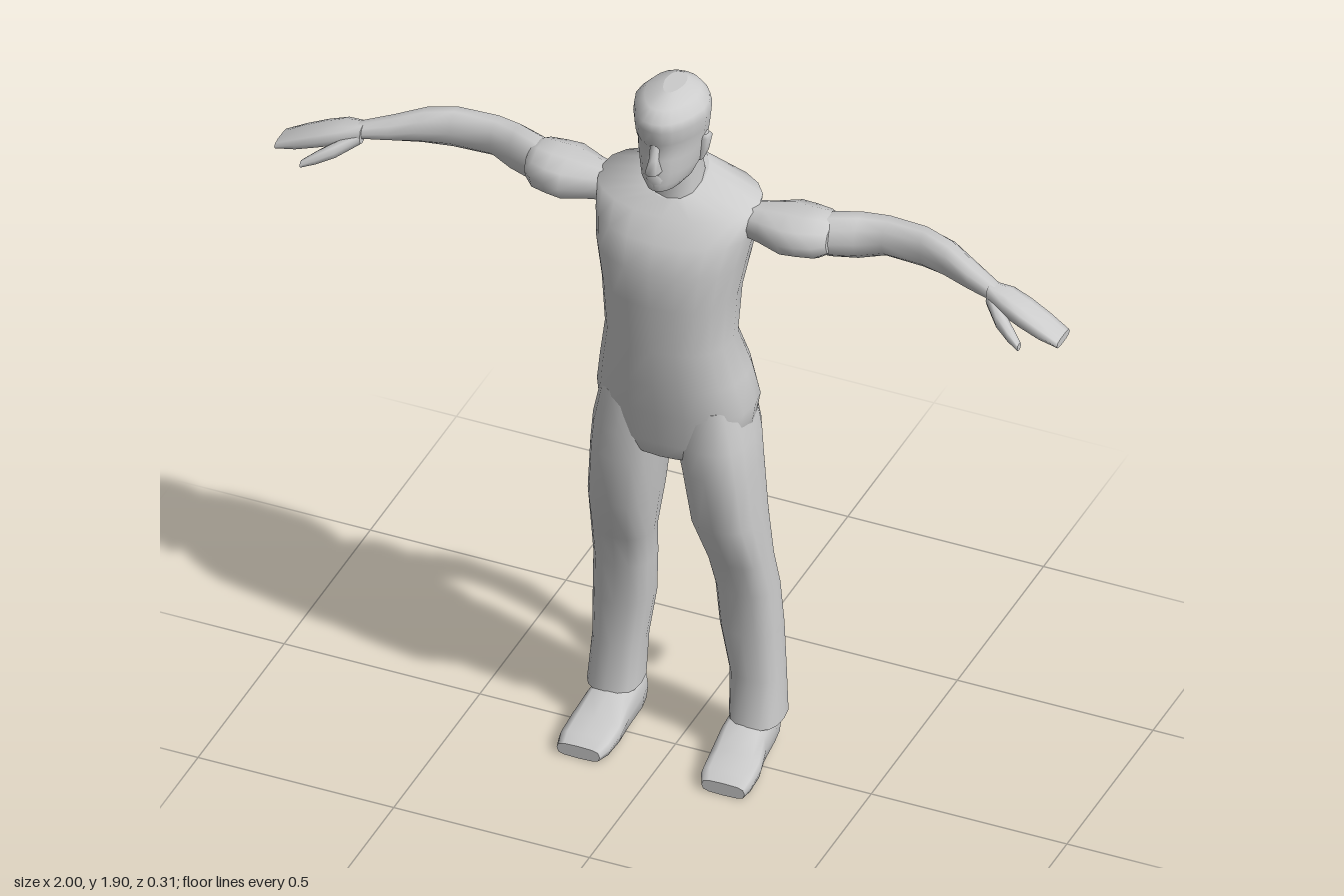
import * as THREE from 'three';

const grey = new THREE.MeshStandardMaterial({ color: 0xcccccc });
grey.name = 'lightGrey';

// Maps (position along axis, a, b) to xyz for each loft axis.
const AXES = {
  y: (p, a, b) => [a, p, b],
  x: (p, a, b) => [p, b, a],
  z: (p, a, b) => [b, a, p],
};

// Smooth closed loft. Section: [p, aMin, aMax, bMin, bMax, tilt of p along b].
function loft(name, axis, sections, { sides = 14, power = 2.3, mirror = false, taper = 0 } = {}) {
  const pos = [], index = [], n = sides, map = AXES[axis];
  const bend = (v) => Math.sign(v) * Math.pow(Math.abs(v), 2 / power);
  const ring = ([p, a0, a1, b0, b1, tilt = 0]) => {
    for (let i = 0; i < n; i++) {
      const t = (i / n) * Math.PI * 2;
      const s = bend(Math.sin(t));
      const c = bend(Math.cos(t)) * (1 - taper * Math.max(0, s));
      const b = (b0 + b1) / 2 + s * (b1 - b0) / 2;
      pos.push(...map(p + tilt * b, (a0 + a1) / 2 + c * (a1 - a0) / 2, b));
    }
  };
  const tri = (a, b, c) => index.push(...(mirror ? [a, c, b] : [a, b, c]));
  sections.forEach(ring);
  for (let j = 0; j < sections.length - 1; j++) {
    for (let i = 0; i < n; i++) {
      const a = j * n + i, b = j * n + (i + 1) % n;
      tri(a, a + n, b);
      tri(b, a + n, b + n);
    }
  }
  // End caps with their own vertices
  [sections[0], sections[sections.length - 1]].forEach((s, k) => {
    const base = pos.length / 3;
    ring(s);
    const b = (s[3] + s[4]) / 2;
    pos.push(...map(s[0] + (s[5] || 0) * b, (s[1] + s[2]) / 2, b));
    for (let i = 0; i < n; i++) {
      const u = base + i, v = base + (i + 1) % n;
      if (k) tri(base + n, v, u); else tri(base + n, u, v);
    }
  });
  if (mirror) for (let i = 0; i < pos.length; i += 3) pos[i] *= -1;
  const geo = new THREE.BufferGeometry();
  geo.setAttribute('position', new THREE.Float32BufferAttribute(pos, 3));
  geo.setIndex(index);
  geo.computeVertexNormals();
  const mesh = new THREE.Mesh(geo, grey);
  mesh.name = name;
  return mesh;
}

// Section symmetric in x, for the body and head
const sym = (y, w, back, front, tilt = 0) => [y, -w, w, back, front, tilt];

function limbs(mirror) {
  const g = new THREE.Group();
  g.name = mirror ? 'rightLimbs' : 'leftLimbs';

  // Trouser leg, its top tucked inside the hips
  g.add(loft('leg', 'y', [
    [0.095, 0.116, 0.247, -0.142, 0.0, -0.06],
    [0.22, 0.111, 0.24, -0.142, -0.02],
    [0.35, 0.089, 0.236, -0.142, -0.01],
    [0.47, 0.082, 0.23, -0.132, 0.0],
    [0.57, 0.072, 0.224, -0.11, 0.03],
    [0.7, 0.047, 0.216, -0.114, 0.084],
    [0.85, 0.028, 0.205, -0.12, 0.1],
    [0.93, 0.012, 0.198, -0.127, 0.104],
    [1.04, 0.01, 0.175, -0.125, 0.1],
  ], { mirror, power: 2.5, sides: 16 }));

  // Shoe, lofted from heel to toe
  g.add(loft('shoe', 'z', [
    [-0.125, 0, 0.1, 0.125, 0.215],
    [-0.08, 0, 0.115, 0.115, 0.224],
    [0.0, 0, 0.1, 0.114, 0.232],
    [0.06, 0, 0.065, 0.112, 0.245],
    [0.115, 0, 0.05, 0.116, 0.247],
    [0.145, 0, 0.034, 0.13, 0.24],
  ], { mirror, power: 3.4, sides: 12 }));

  // Short sleeve
  g.add(loft('sleeve', 'x', [
    [0.17, -0.075, 0.02, 1.505, 1.585],
    [0.22, -0.09, 0.03, 1.497, 1.592],
    [0.28, -0.12, 0.05, 1.487, 1.6],
    [0.32, -0.117, 0.046, 1.49, 1.6],
    [0.36, -0.108, 0.032, 1.488, 1.602],
    [0.385, -0.1, 0.005, 1.5, 1.585],
  ], { mirror, sides: 10, power: 2.1 }));

  // Bare arm down to the wrist
  g.add(loft('arm', 'x', [
    [0.34, -0.09, 0.015, 1.5, 1.585],
    [0.38, -0.105, -0.005, 1.483, 1.597],
    [0.44, -0.125, -0.03, 1.48, 1.598],
    [0.5, -0.138, -0.058, 1.49, 1.592],
    [0.6, -0.122, -0.05, 1.494, 1.598],
    [0.67, -0.108, -0.03, 1.498, 1.587],
    [0.74, -0.075, -0.005, 1.502, 1.565],
    [0.82, -0.035, 0.015, 1.503, 1.543],
  ], { mirror, sides: 10, power: 2.1 }));

  // Flat hand
  g.add(loft('hand', 'x', [
    [0.8, -0.037, 0.017, 1.5, 1.546],
    [0.85, -0.044, 0.04, 1.49, 1.541],
    [0.9, -0.038, 0.052, 1.477, 1.524],
    [0.95, -0.028, 0.057, 1.462, 1.503],
    [1.0, -0.017, 0.058, 1.455, 1.476],
  ], { mirror, sides: 10, power: 2.8 }));

  // Thumb
  g.add(loft('thumb', 'x', [
    [0.8, -0.015, 0.017, 1.497, 1.53],
    [0.845, 0.015, 0.065, 1.473, 1.515],
    [0.885, 0.05, 0.088, 1.46, 1.494],
    [0.917, 0.078, 0.1, 1.453, 1.472],
  ], { mirror, sides: 8 }));

  // Ear
  g.add(loft('ear', 'y', [
    [1.715, 0.065, 0.078, 0.005, 0.025],
    [1.745, 0.065, 0.091, -0.004, 0.03],
    [1.78, 0.065, 0.098, -0.008, 0.03],
    [1.79, 0.065, 0.09, 0.0, 0.025],
  ], { mirror, sides: 8 }));
  return g;
}

export function createModel() {
  const model = new THREE.Group();
  model.name = 'standingMan';

  // Shirt and hips, rounding under into the crotch
  model.add(loft('torso', 'y', [
    sym(0.868, 0.055, -0.06, 0.06),
    sym(0.885, 0.12, -0.09, 0.09),
    sym(0.93, 0.185, -0.122, 0.104),
    sym(1.02, 0.196, -0.155, 0.117),
    sym(1.11, 0.18, -0.143, 0.135),
    sym(1.22, 0.158, -0.097, 0.143),
    sym(1.35, 0.166, -0.113, 0.152),
    sym(1.45, 0.184, -0.143, 0.156),
    sym(1.52, 0.195, -0.153, 0.13),
    sym(1.582, 0.202, -0.14, 0.085, -0.15),
    sym(1.618, 0.062, -0.108, 0.055, -0.28),
  ], { sides: 20 }));

  // Neck
  model.add(loft('neck', 'y', [
    sym(1.58, 0.062, -0.1, 0.052),
    sym(1.645, 0.058, -0.085, 0.053),
    sym(1.7, 0.056, -0.066, 0.055),
    sym(1.74, 0.055, -0.062, 0.055),
  ], { sides: 12 }));

  // Head and short hair, narrowing toward the face
  model.add(loft('head', 'y', [
    sym(1.668, 0.04, 0.03, 0.122),
    sym(1.69, 0.062, -0.03, 0.129),
    sym(1.72, 0.074, -0.066, 0.127),
    sym(1.76, 0.08, -0.075, 0.127),
    sym(1.788, 0.083, -0.078, 0.121),
    sym(1.81, 0.087, -0.081, 0.135),
    sym(1.845, 0.091, -0.082, 0.138),
    sym(1.87, 0.087, -0.076, 0.139),
    sym(1.892, 0.064, -0.064, 0.11),
    sym(1.905, 0.025, -0.04, 0.05),
  ], { sides: 20, taper: 0.28 }));

  // Nose, lips and chin
  model.add(loft('nose', 'y', [
    sym(1.718, 0.017, 0.09, 0.128),
    sym(1.731, 0.02, 0.09, 0.157),
    sym(1.765, 0.013, 0.09, 0.142),
    sym(1.81, 0.012, 0.09, 0.132),
  ], { sides: 8, power: 2 }));
  model.add(loft('mouth', 'y', [
    sym(1.68, 0.018, 0.09, 0.126),
    sym(1.704, 0.026, 0.09, 0.134),
    sym(1.72, 0.018, 0.09, 0.127),
  ], { sides: 8, power: 2 }));

  model.add(limbs(false), limbs(true));
  return model;
}
